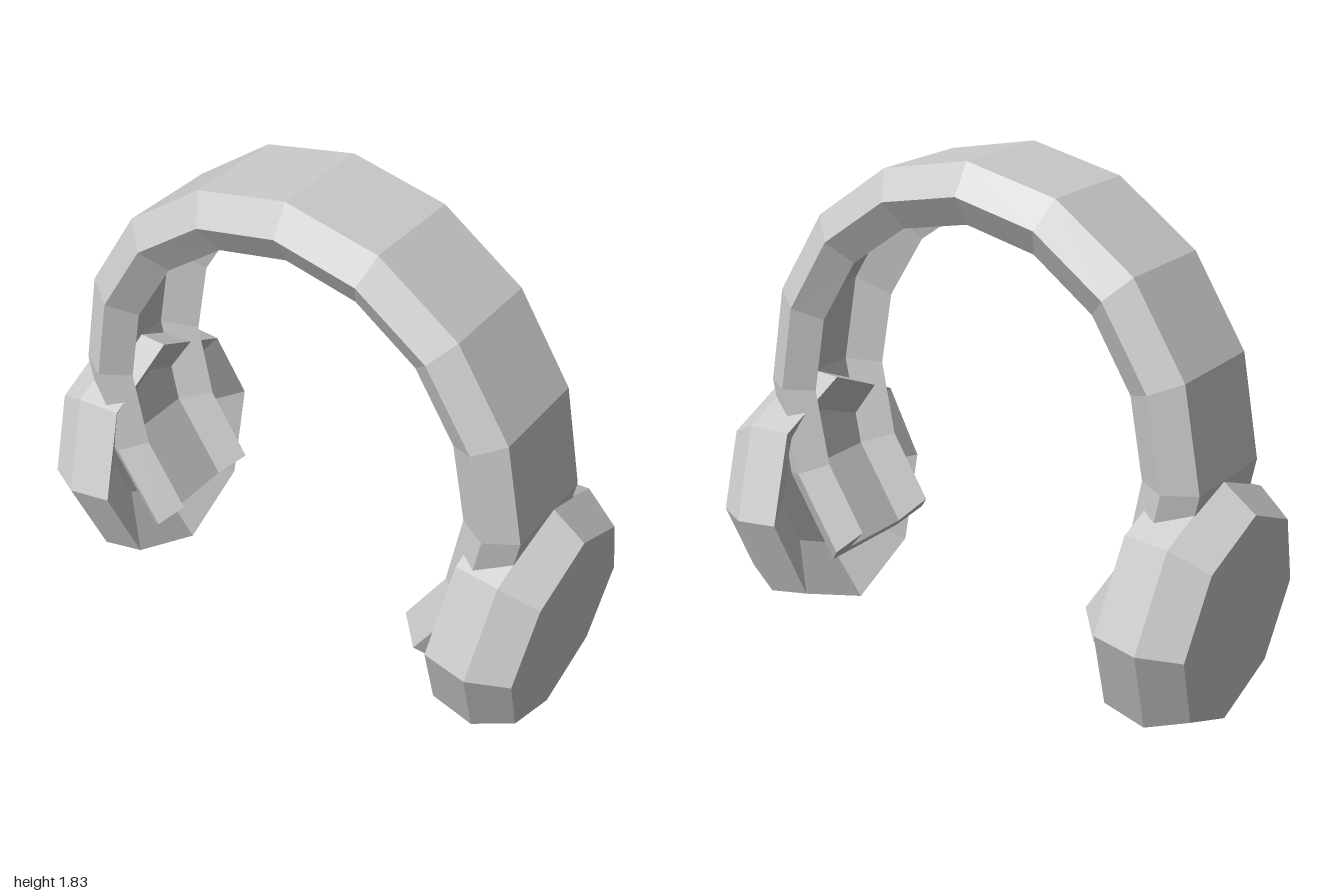
import * as THREE from 'three';

const material = new THREE.MeshStandardMaterial({ color: 0xcccccc, flatShading: true });

// Headband: a channel section, open on its inner side, swept along a 270 degree elliptical arc
function headbandGeometry() {
  const d = 0.103, w = 0.185, W = 0.248;
  const floor = 0.037, floorW = 0.14;
  const section = [
    [floor, -floorW], [-d, -w], [0, -W], [d, -w],
    [d, w], [0, W], [-d, w], [floor, floorW],
  ];
  const steps = 12, n = section.length;
  const positions = [], index = [];
  for (let i = 0; i <= steps; i++) {
    const t = -Math.PI / 4 + (i / steps) * Math.PI * 1.5;
    for (const [r, z] of section) {
      positions.push((0.781 + r) * Math.cos(t), 0.91 + (0.818 + r) * Math.sin(t), 0.03 + z);
    }
  }
  for (let i = 0; i < steps; i++) {
    for (let j = 0; j < n; j++) {
      const a = i * n + j, b = i * n + (j + 1) % n;
      index.push(a, a + n, b, b, a + n, b + n);
    }
  }
  // U-shaped end caps
  const last = steps * n;
  const cap = THREE.ShapeUtils.triangulateShape(section.map(([r, z]) => new THREE.Vector2(r, z)), []);
  for (const [a, b, c] of cap) {
    index.push(a, b, c, last + a, last + c, last + b);
  }
  const geometry = new THREE.BufferGeometry();
  geometry.setAttribute('position', new THREE.Float32BufferAttribute(positions, 3));
  geometry.setIndex(index);
  const flat = geometry.toNonIndexed();
  flat.computeVertexNormals();
  return flat;
}

// Ear cup: eight-sided, bevelled outside, recessed on the ear side, leaning outward
function earCupGeometry() {
  const profile = [
    [0, -0.03], [0.24, -0.03], [0.436, -0.16], [0.456, 0], [0.378, 0.134], [0, 0.134],
  ].map(([r, y]) => new THREE.Vector2(r, y));
  const geometry = new THREE.LatheGeometry(profile, 8);
  geometry.rotateZ(-Math.PI / 2);
  geometry.scale(1, 1, 0.932);
  geometry.rotateZ(-0.092);
  geometry.translate(0.832, 0.458, 0);
  return geometry;
}

export function createModel() {
  const model = new THREE.Group();
  model.name = 'headphones';

  const band = new THREE.Mesh(headbandGeometry(), material);
  band.name = 'headband';
  model.add(band);

  const cup = earCupGeometry();
  for (const [name, turn] of [['leftEarCup', 0], ['rightEarCup', Math.PI]]) {
    const mesh = new THREE.Mesh(cup, material);
    mesh.name = name;
    mesh.rotation.y = turn;
    model.add(mesh);
  }
  return model;
}
